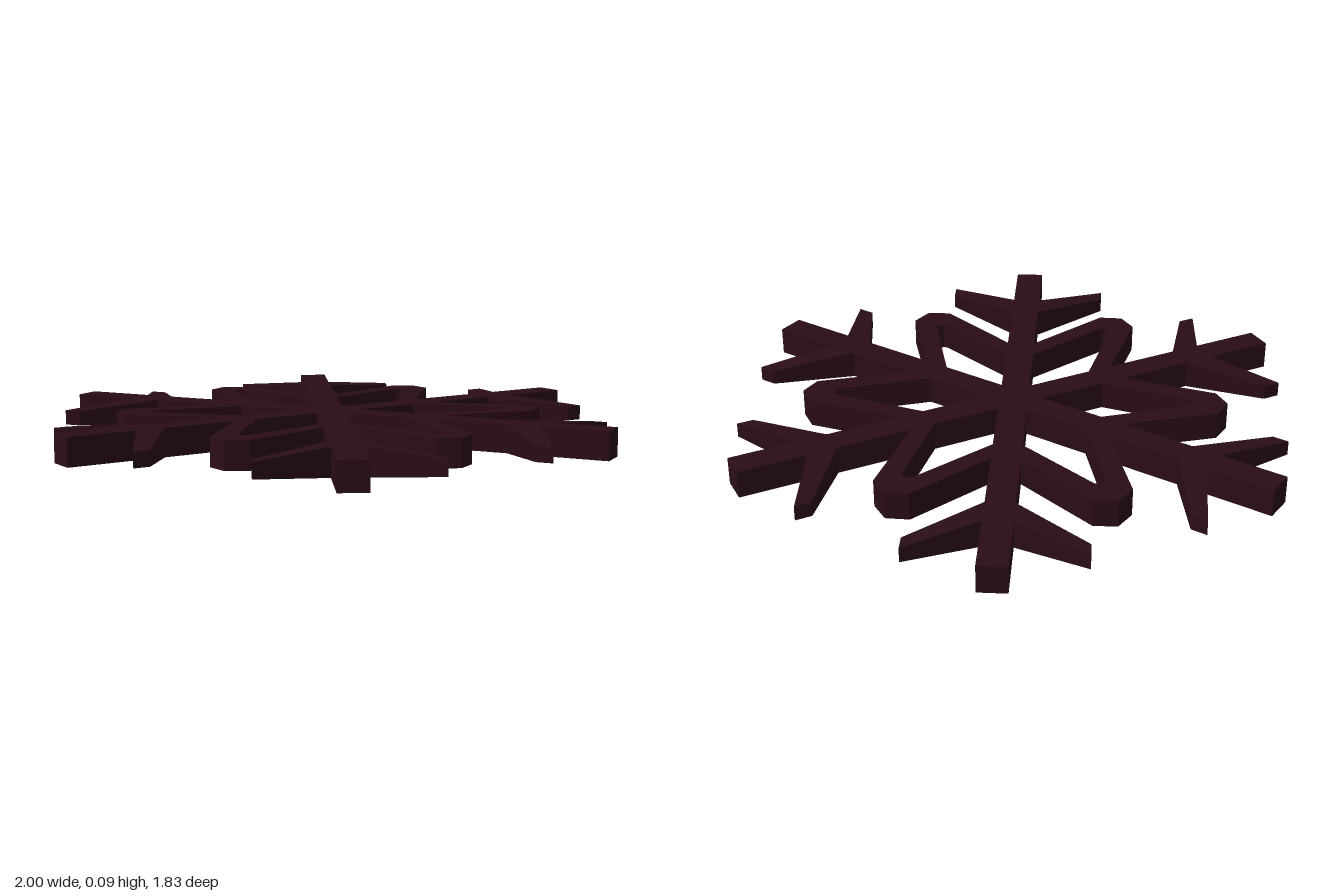
import * as THREE from 'three';

const H = 0.095;      // thickness
const HALF = 0.048;   // half width of an arm
const SIXTH = Math.PI / 3;

// point given along / across a direction, turned by angle a
const turn = (along, across, a) => new THREE.Vector2(
  along * Math.cos(a) - across * Math.sin(a),
  along * Math.sin(a) + across * Math.cos(a));

// flat body: six arms joined by a six-pointed star, with a kite opening in each point
function bodyGeometry() {
  const outline = [];
  const holes = [];
  for (let i = 0; i < 6; i++) {
    const arm = i * SIXTH;
    const tip = arm + SIXTH / 2;
    for (const [r, t] of [[0.405, -HALF], [1, -HALF], [1, HALF], [0.405, HALF]]) outline.push(turn(r, t, arm));
    for (const [r, t] of [[0.69, -0.07], [0.727, 0], [0.69, 0.07]]) outline.push(turn(r, t, tip));
    const kite = [[0.096, 0], [0.3, 0.117], [0.605, 0.021], [0.615, 0.011],
      [0.615, -0.011], [0.605, -0.021], [0.3, -0.117]];
    holes.push(new THREE.Path(kite.map(([r, t]) => turn(r, t, tip))));
  }
  const shape = new THREE.Shape(outline);
  shape.holes.push(...holes);
  return new THREE.ExtrudeGeometry(shape, { depth: H, bevelEnabled: false })
    .translate(0, 0, -H / 2).rotateX(-Math.PI / 2);
}

// side branch: box swept outwards, tapering in width and thickness
function branchGeometry() {
  const geo = new THREE.BoxGeometry(1, 1, 1);
  const p = geo.attributes.position;
  for (let i = 0; i < p.count; i++) {
    const atTip = p.getZ(i) > 0;
    const outer = p.getX(i) > 0;
    const x = atTip ? (outer ? 0.895 : 0.838) : (outer ? 0.765 : 0.663);
    p.setXYZ(i, x, p.getY(i) * (atTip ? 0.05 : H), atTip ? 0.284 : HALF);
  }
  geo.computeVertexNormals();
  return geo;
}

export function createModel() {
  const material = new THREE.MeshStandardMaterial({ color: 0x2a0d18 });
  const snowflake = new THREE.Group();
  snowflake.name = 'snowflake';

  const body = new THREE.Mesh(bodyGeometry(), material);
  body.name = 'armsAndStar';
  snowflake.add(body);

  // a pair of branches on each arm; the second is the first rolled over
  const branch = branchGeometry();
  for (let i = 0; i < 6; i++) {
    const pair = new THREE.Group();
    pair.name = 'branchPair' + (i + 1);
    pair.rotation.y = i * SIXTH;
    for (const roll of [0, Math.PI]) {
      const mesh = new THREE.Mesh(branch, material);
      mesh.name = 'branch';
      mesh.rotation.x = roll;
      pair.add(mesh);
    }
    snowflake.add(pair);
  }

  snowflake.position.y = H / 2;
  const model = new THREE.Group();
  model.name = 'snowflakeOrnament';
  model.add(snowflake);
  return model;
}
